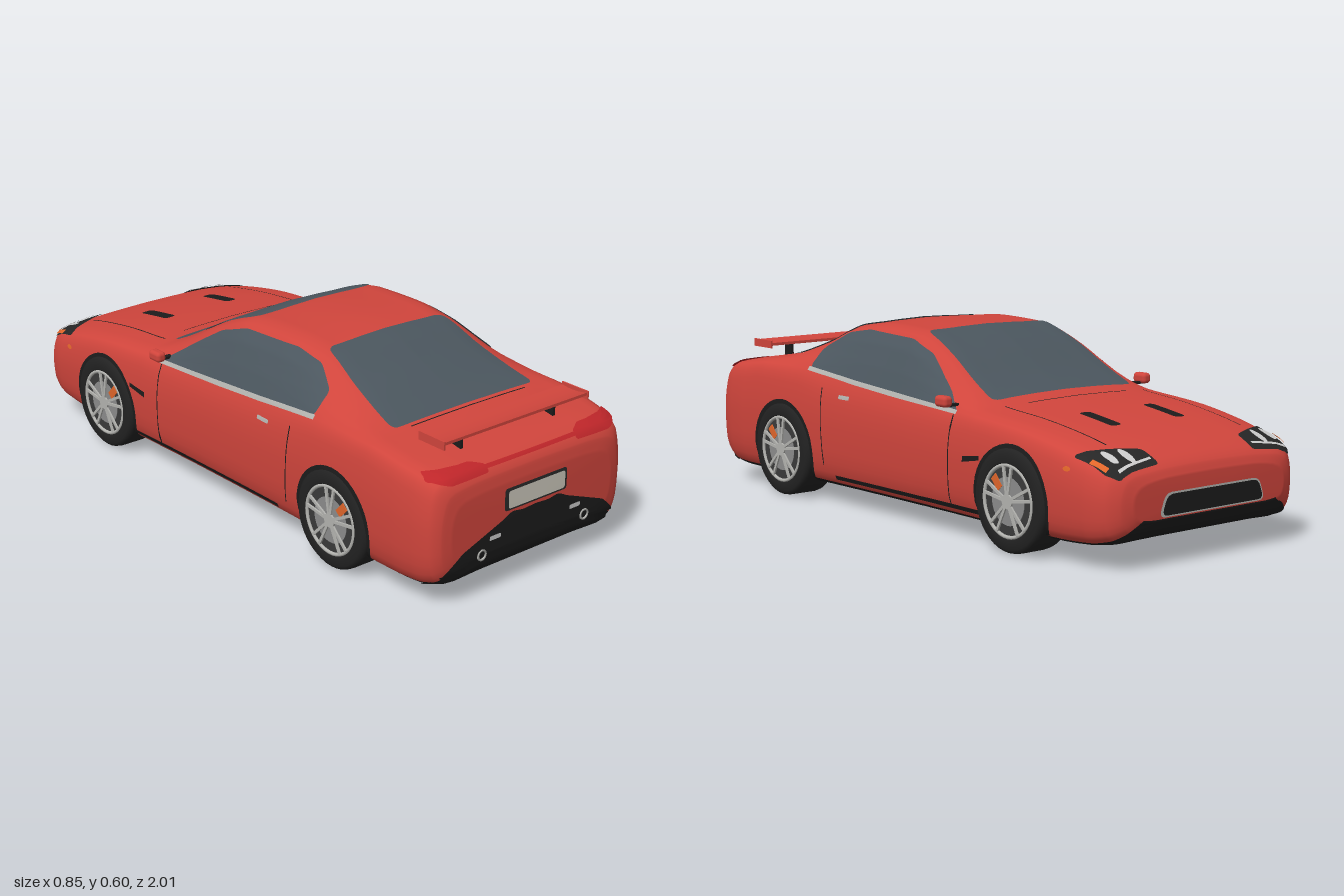
import * as THREE from 'three';
import { RoundedBoxGeometry } from 'three/addons/geometries/RoundedBoxGeometry.js';

const RED = 0xd0453c, BLACK = 0x1c1c1c, GLASS = 0x4b565e, SILVER = 0xb4b4b0, LAMP = 0xc0262a, ORANGE = 0xe0662a;
const mat = (color, side = THREE.DoubleSide) => new THREE.MeshStandardMaterial({ color, side });

// Body stations: z, half width, underside, shoulder height, roof edge x, roof edge y, centre line y
const STATIONS = [
  [-1.0, .30, .14, .235, .20, .25, .255], [-.985, .345, .105, .262, .22, .278, .285],
  [-.95, .38, .08, .285, .25, .302, .31], [-.88, .398, .066, .305, .27, .328, .337],
  [-.75, .405, .06, .335, .29, .355, .364], [-.59, .408, .06, .36, .30, .378, .387],
  [-.4, .405, .06, .375, .30, .396, .41], [-.3, .403, .06, .38, .298, .432, .448],
  [-.1, .401, .06, .395, .278, .535, .555], [.02, .401, .06, .402, .268, .573, .59],
  [.2, .402, .06, .41, .263, .579, .597], [.35, .404, .06, .42, .262, .564, .583],
  [.5, .407, .06, .432, .27, .506, .527], [.7, .409, .06, .43, .29, .445, .452],
  [.82, .408, .06, .415, .30, .428, .435], [.9, .402, .062, .402, .30, .416, .42],
  [.96, .387, .075, .38, .29, .395, .40], [.985, .36, .1, .35, .26, .366, .372],
  [.994, .32, .14, .31, .22, .325, .33],
];

// Monotone Hermite blend between stations so that no column overshoots
function station(i, t) {
  const S = STATIONS, a = S[i], b = S[i + 1];
  const slope = (j, c) => (S[j + 1][c] - S[j][c]) / (S[j + 1][0] - S[j][0]);
  const tangent = (j, c) => {
    if (j === 0) return slope(0, c);
    if (j === S.length - 1) return slope(j - 1, c);
    const p = slope(j - 1, c), q = slope(j, c);
    return p * q <= 0 ? 0 : 2 * p * q / (p + q);
  };
  const h = b[0] - a[0], t2 = t * t, t3 = t2 * t;
  return a.map((v, c) => c === 0 ? v + h * t
    : (2 * t3 - 3 * t2 + 1) * v + (t3 - 2 * t2 + t) * h * tangent(i, c)
    + (3 * t2 - 2 * t3) * b[c] + (t3 - t2) * h * tangent(i + 1, c));
}

// Closed ring of one cross-section, from the underside centre round the +x side and back
function ring([z, w, yb, ysh, xr, yr, yt]) {
  const lift = k => yb + (ysh - yb) * k;
  const half = new THREE.CatmullRomCurve3([
    [0, yb], [w * .5, yb], [w - .045, yb + .002], [w - .012, lift(.13)], [w, lift(.45)], [w - .005, lift(.78)],
    [w - .028, ysh], [xr, yr], [xr * .6, yr + (yt - yr) * .7], [0, yt],
  ].map(([x, y]) => new THREE.Vector3(x, y, z)), false, 'centripetal').getPoints(27);
  return [...half, ...half.slice(1, -1).reverse().map(p => new THREE.Vector3(-p.x, p.y, z))];
}

function buildBody() {
  const rings = [];
  for (let i = 0; i < STATIONS.length - 1; i++)
    for (let k = 0; k < 5; k++) rings.push(ring(station(i, k / 5)));
  rings.push(ring(STATIONS[STATIONS.length - 1]));
  const n = rings[0].length, pts = rings.flat(), paint = [], floor = [];
  for (let i = 0; i < rings.length - 1; i++) for (let j = 0; j < n; j++) {
    const a = i * n + j, b = i * n + (j + 1) % n;
    (j < 7 || j >= n - 7 ? floor : paint).push(a, b, a + n, b, b + n, a + n);
  }
  // Nose and tail caps
  [0, rings.length - 1].forEach((r, end) => {
    const c = pts.push(new THREE.Vector3(0, end ? .24 : .2, end ? .996 : -1)) - 1;
    for (let j = 0; j < n; j++) {
      const a = r * n + j, b = r * n + (j + 1) % n;
      paint.push(c, ...(end ? [a, b] : [b, a]));
    }
  });
  const whole = new THREE.BufferGeometry().setFromPoints(pts);
  whole.setIndex([...paint, ...floor]);
  whole.computeVertexNormals();
  return [['bodyShell', paint, RED], ['floor', floor, BLACK]].map(([name, index, color]) => {
    const mesh = new THREE.Mesh(whole.clone().setIndex(index), mat(color));
    mesh.name = name;
    return mesh;
  });
}

// Rounded, evenly divided outline of a polygon
function outline(pts, r) {
  const v = pts.map(p => new THREE.Vector2(...p)), out = [];
  v.forEach((p, i) => {
    const toward = q => p.clone().lerp(q, Math.min(.48, r / p.distanceTo(q)));
    const a = toward(v[(i + v.length - 1) % v.length]), next = v[(i + 1) % v.length], b = toward(next);
    if (r) out.push(...new THREE.QuadraticBezierCurve(a, p, b).getPoints(4));
    else out.push(p);
    const end = next.clone().lerp(p, Math.min(.48, r / p.distanceTo(next)));
    const steps = Math.ceil(b.distanceTo(end) / .035), from = r ? b : p;
    for (let k = 1; k < steps; k++) out.push(from.clone().lerp(end, k / steps));
  });
  return out;
}
const rect = (x, y, w, h) => [[x - w / 2, y - h / 2], [x + w / 2, y - h / 2], [x + w / 2, y + h / 2], [x - w / 2, y + h / 2]];
const oval = (x, y, rx, ry, n = 20) => Array.from({ length: n }, (_, i) =>
  [x + rx * Math.cos(i * 2 * Math.PI / n), y + ry * Math.sin(i * 2 * Math.PI / n)]);

// Directions for laying panels on the body: flat coordinates to ray start, and ray direction
const AIM = {
  top: [(a, b) => [a, 2, b], [0, -1, 0]],
  side: [(a, b) => [2, b, a], [-1, 0, 0]],
  rear: [(a, b) => [a, b, 2], [0, 0, -1]],
  front: [(a, b) => [a, b, -2], [0, 0, 1]],
};

export function createModel() {
  const car = new THREE.Group();
  car.name = 'sportsCar';
  const body = buildBody();
  car.add(...body);
  const add = (name, geo, color, x = 0, y = 0, z = 0, parent = car) => {
    const m = new THREE.Mesh(geo, mat(color));
    m.name = name;
    m.position.set(x, y, z);
    parent.add(m);
    return m;
  };

  // Thin panel that follows the body surface
  const caster = new THREE.Raycaster();
  function panel(name, aim, pts, color, { mirror = false, r = 0, lift = .004 } = {}) {
    const [start, dir] = AIM[aim], edge = outline(pts, r), d = new THREE.Vector3(...dir);
    const c = edge.reduce((s, p) => s.add(p), new THREE.Vector2()).divideScalar(edge.length);
    const rows = Math.max(2, Math.ceil(Math.max(...edge.map(p => p.distanceTo(c))) / .035));
    const land = (p, k) => {
      for (; k > 0; k -= .02) {
        const q = c.clone().lerp(p, k);
        caster.set(new THREE.Vector3(...start(q.x, q.y)), d);
        const hit = caster.intersectObjects(body)[0];
        if (hit) return hit.point.addScaledVector(hit.face.normal, lift);
      }
      return new THREE.Vector3(...start(c.x, c.y)).addScaledVector(d, 1);
    };
    const verts = [land(c, 1e-4)], index = [], n = edge.length;
    for (let i = 1; i <= rows; i++) edge.forEach(p => verts.push(land(p, i / rows)));
    for (let j = 0; j < n; j++) {
      const k = (j + 1) % n;
      index.push(0, 1 + j, 1 + k);
      for (let i = 0; i < rows - 1; i++) {
        const a = 1 + i * n + j, b = 1 + i * n + k;
        index.push(a, a + n, b, b, a + n, b + n);
      }
    }
    for (const s of mirror ? [1, -1] : [1]) {
      const g = new THREE.BufferGeometry().setFromPoints(verts).scale(s, 1, 1);
      g.setIndex(index);
      g.computeVertexNormals();
      add(name, g, color);
    }
  }
  const both = { mirror: true };

  // Glass
  panel('windscreen', 'top', [[-.285, -.37], [.285, -.37], [.24, .01], [-.24, .01]], GLASS, { r: .03 });
  panel('rearWindow', 'top', [[-.23, .34], [.23, .34], [.285, .7], [-.285, .7]], GLASS, { r: .03 });
  panel('sideWindow', 'side', [[.455, .435], [.455, .495], [.37, .55], [.26, .568], [.02, .56], [-.09, .525], [-.2, .455],
    [-.31, .378], [0, .398]], GLASS, { mirror: true, r: .015 });
  panel('windowTrim', 'side', [[.46, .426], [.46, .438], [.2, .416], [0, .403], [-.31, .381], [-.31, .371], [0, .388], [.2, .402]],
    SILVER, { mirror: true, lift: .006 });

  // Bonnet, door and boot details
  panel('bonnetVent', 'top', rect(.13, -.67, .042, .145), BLACK, { mirror: true, r: .015 });
  panel('bonnetSeam', 'top', [[.272, -.85], [.276, -.85], [.284, -.42], [.28, -.42]], BLACK, both);
  panel('bonnetRearSeam', 'top', rect(0, -.43, .4, .004), BLACK);
  panel('bootSeam', 'top', rect(0, .715, .46, .004), BLACK);
  panel('doorFrontSeam', 'side', rect(-.3, .23, .004, .28), BLACK, both);
  panel('doorRearSeam', 'side', [[.363, .38], [.367, .38], [.354, .13], [.35, .13]], BLACK, both);
  panel('sillStrip', 'side', rect(-.08, .096, .76, .014), BLACK, both);
  panel('fenderVent', 'side', [[-.37, .24], [-.45, .255], [-.45, .268], [-.37, .258]], BLACK, both);
  panel('doorHandle', 'side', rect(.24, .36, .055, .012), SILVER, { mirror: true, r: .005, lift: .008 });
  panel('sideIndicator', 'side', oval(-.82, .28, .014, .007, 12), ORANGE, both);

  // Nose
  panel('frontLip', 'front', [[-.35, .088], [.35, .088], [.29, .135], [-.29, .135]], BLACK, { r: .02 });
  panel('grilleFrame', 'front', [[-.215, .145], [.215, .145], [.19, .215], [-.19, .215]], SILVER, { r: .025, lift: .006 });
  panel('grille', 'front', [[-.207, .15], [.207, .15], [.184, .21], [-.184, .21]], BLACK, { r: .023, lift: .009 });
  panel('headlight', 'top', [[.19, -.975], [.34, -.978], [.365, -.95], [.378, -.83], [.34, -.85], [.195, -.91]], 0x262626,
    { mirror: true, r: .012 });
  for (const [x, z] of [[.32, -.912], [.268, -.925]])
    panel('headlightLens', 'top', oval(x, z, .014, .034), 0xf2f2f2, { mirror: true, lift: .008 });
  panel('headlightStrip', 'top', [[.205, -.958], [.335, -.968], [.335, -.96], [.205, -.95]], 0xd8d8d8, { mirror: true, lift: .008 });
  panel('frontIndicator', 'top', [[.35, -.945], [.361, -.945], [.372, -.89], [.36, -.89]], ORANGE, { mirror: true, lift: .008 });

  // Tail
  panel('diffuser', 'rear', [[-.37, .07], [.37, .07], [.34, .12], [.29, .165], [.13, .225], [.095, .243], [.05, .236], [0, .24],
    [-.05, .236], [-.095, .243], [-.13, .225], [-.29, .165], [-.34, .12]], BLACK, { r: .012 });
  panel('plateFrame', 'rear', rect(0, .284, .252, .07), 0x2a2a2a, { r: .012, lift: .005 });
  panel('plate', 'rear', rect(0, .284, .23, .055), 0xcac6ba, { r: .01, lift: .009 });
  panel('tailLight', 'rear', [[.178, .38], [.32, .376], [.372, .39], [.365, .408], [.22, .408], [.178, .398]], LAMP,
    { mirror: true, r: .008, lift: .007 });
  panel('bootLip', 'rear', rect(0, .393, .36, .008), LAMP, { lift: .006 });
  panel('fogLight', 'rear', rect(.163, .184, .044, .014), 0xc8c8c8, { mirror: true, r: .004, lift: .008 });

  for (const s of [1, -1]) {
    // Exhaust pipes
    const pipe = new THREE.LatheGeometry([[.012, -.06], [.012, .06], [.018, .06], [.018, -.06]].map(p => new THREE.Vector2(...p)), 20);
    add('exhaustPipe', pipe.rotateX(Math.PI / 2), SILVER, s * .21, .139, .94);
    add('exhaustCore', new THREE.CircleGeometry(.0125, 20), BLACK, s * .21, .139, .996);
    // Door mirrors
    add('doorMirror', new RoundedBoxGeometry(.034, .034, .055, 3, .012), RED, s * .41, .412, -.285);
    add('mirrorArm', new THREE.BoxGeometry(.05, .008, .018), BLACK, s * .382, .398, -.285);
    // Spoiler supports and end plates
    add('spoilerStrut', new THREE.BoxGeometry(.01, .05, .04), BLACK, s * .187, .444, .86);
    add('spoilerEndPlate', new THREE.BoxGeometry(.005, .026, .105), RED, s * .29, .472, .866);
  }
  // Spoiler blade, slightly arched
  const blade = new THREE.BoxGeometry(.58, .009, .1, 1, 1, 8), bp = blade.attributes.position;
  for (let i = 0; i < bp.count; i++) bp.setY(i, bp.getY(i) - .006 + .006 * Math.pow(bp.getZ(i) / .05 + .2, 2));
  blade.computeVertexNormals();
  add('spoilerBlade', blade, RED, 0, .474, .866);

  // Wheels, outer face towards local +x
  const lathe = pts => new THREE.LatheGeometry(pts.map(p => new THREE.Vector2(...p)), 40).rotateZ(-Math.PI / 2);
  const disc = (r, h) => new THREE.CylinderGeometry(r, r, h, 40).rotateZ(Math.PI / 2);
  for (const z of [-.59, .575]) {
    panel('wheelArch', 'side', oval(z, .155, .166, .166, 40), BLACK, both);
    for (const s of [1, -1]) {
      const wheel = new THREE.Group();
      wheel.name = 'wheel';
      wheel.position.set(s * .358, .155, z);
      wheel.rotation.y = s > 0 ? 0 : Math.PI;
      car.add(wheel);
      add('tyre', lathe([[.1, -.055], [.11, -.062], [.14, -.062], [.153, -.052], [.155, -.04], [.155, .04], [.153, .052],
        [.142, .061], [.115, .063], [.108, .057]]), 0x222222, 0, 0, 0, wheel);
      add('wheelBack', disc(.11, .106), 0x3a3a3a, .003, 0, 0, wheel);
      add('brakeDisc', disc(.072, .002), 0x8c8c8c, .0565, 0, 0, wheel);
      add('brakeCaliper', new THREE.BoxGeometry(.003, .045, .026), ORANGE, .0575, .05, s * .05, wheel).rotation.x = s * .75;
      add('rimRing', new THREE.TorusGeometry(.106, .006, 8, 40).rotateY(Math.PI / 2), SILVER, .057, 0, 0, wheel);
      add('hub', disc(.022, .01), SILVER, .058, 0, 0, wheel);
      for (let i = 0; i < 5; i++) for (const k of [-1, 1]) {
        const spoke = new THREE.BoxGeometry(.006, .09, .009).translate(0, .06, 0).rotateX(i * Math.PI * .4 + k * .17);
        add('spoke', spoke, SILVER, .06, 0, 0, wheel);
      }
    }
  }
  return car;
}
